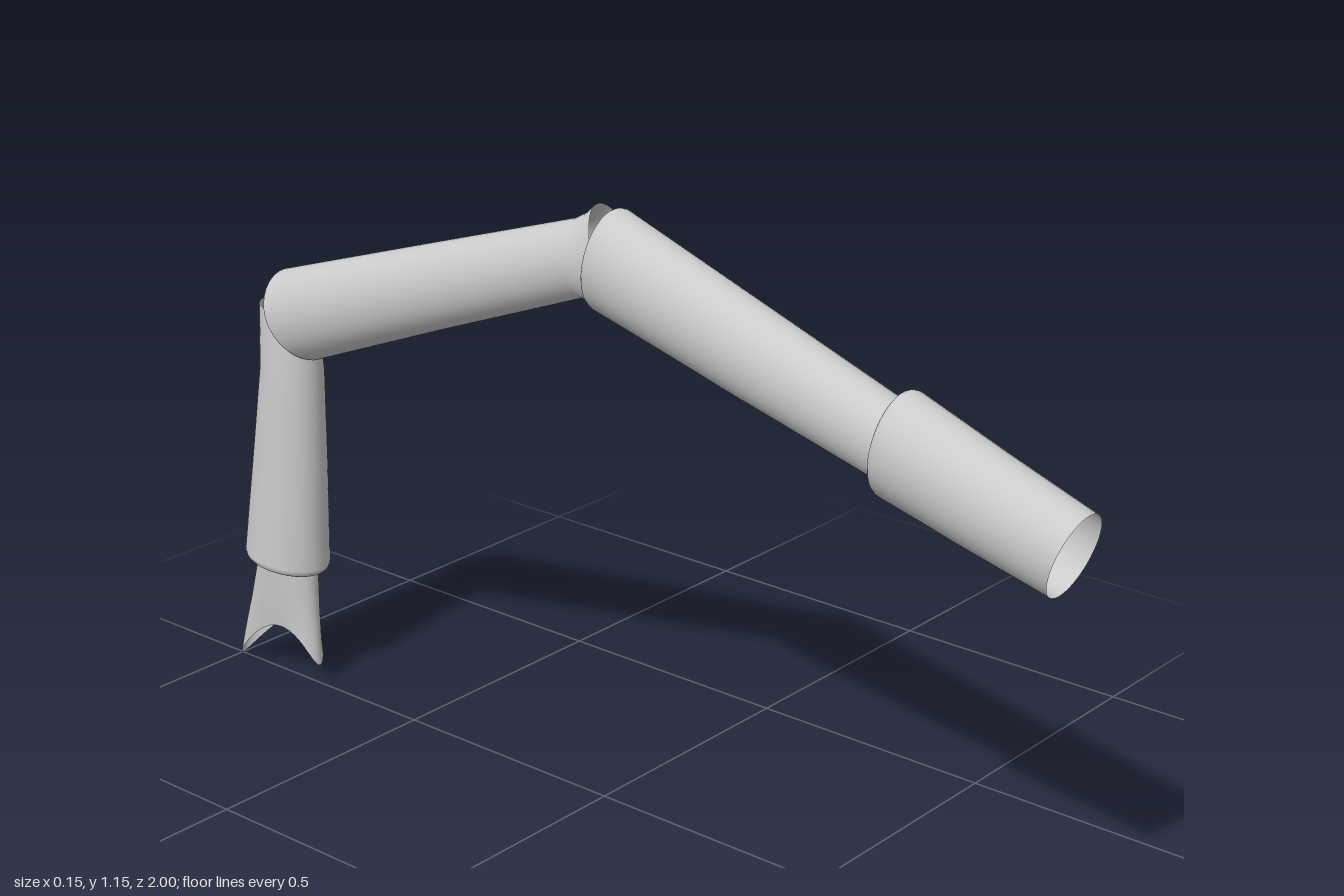
import * as THREE from 'three';

const SIDES = 40;

// A ring is [aZ, aY, bZ, bY, halfWidth, bowZ, bowY]: a and b are opposite rim points
// in the centre plane; bow shifts the two flanks to give a curved cut.
function ringPoints([az, ay, bz, by, w, bowZ = 0, bowY = 0]) {
  const pts = [];
  for (let j = 0; j < SIDES; j++) {
    const t = (j / SIDES) * Math.PI * 2, c = Math.cos(t), s = Math.sin(t);
    pts.push(
      s * w,
      (ay + by) / 2 + (ay - by) / 2 * c + bowY * s * s,
      (az + bz) / 2 + (az - bz) / 2 * c + bowZ * s * s
    );
  }
  return pts;
}

// Rings that round the last rim over and turn it inward
function lip(rings, scale = 1) {
  const [az, ay, bz, by, w, bz2 = 0, by2 = 0] = rings[rings.length - 1];
  const p = rings[rings.length - 2];
  const axis = new THREE.Vector2(az + bz - p[0] - p[2], ay + by - p[1] - p[3]).normalize();
  const half = Math.hypot(az - bz, ay - by) / 2;
  const steps = [[0.008, 0.002], [0.013, 0.006], [0.016, 0.011], [0.014, 0.016], [0.004, 0.018]];
  return steps.map(([along, inset]) => {
    const k = inset * scale / half / 2, dz = axis.x * along * scale, dy = axis.y * along * scale;
    return [
      az + (bz - az) * k + dz, ay + (by - ay) * k + dy,
      bz + (az - bz) * k + dz, by + (ay - by) * k + dy,
      w - inset * scale, bz2, by2
    ];
  });
}

// Skin a list of rings into an open, smooth tube
function tube(name, rings, material) {
  const pos = rings.flatMap(ringPoints), index = [];
  for (let i = 0; i < rings.length - 1; i++) {
    for (let j = 0; j < SIDES; j++) {
      const k = (j + 1) % SIDES;
      const a = i * SIDES + j, b = i * SIDES + k, c = b + SIDES, d = a + SIDES;
      index.push(a, b, c, a, c, d);
    }
  }
  const geo = new THREE.BufferGeometry();
  geo.setAttribute('position', new THREE.Float32BufferAttribute(pos, 3));
  geo.setIndex(index);
  geo.computeVertexNormals();
  const mesh = new THREE.Mesh(geo, material);
  mesh.name = name;
  return mesh;
}

export function createModel() {
  const group = new THREE.Group();
  group.name = 'jointedLeg';
  const material = new THREE.MeshStandardMaterial({ color: 0xcccccc, side: THREE.DoubleSide });

  // Open sleeve at the front end
  const sleeve = [
    [1.0, 0.832, 0.952, 0.68, 0.067],
    [0.83, 0.892, 0.785, 0.722, 0.072],
    [0.655, 0.957, 0.62, 0.766, 0.077]
  ];
  sleeve.push(...lip(sleeve));

  // Tapered segment rising from the sleeve
  const upper = [
    [0.665, 0.922, 0.65, 0.782, 0.06],
    [0.35, 1.035, 0.31, 0.872, 0.066],
    [0.035, 1.148, -0.002, 0.958, 0.071]
  ];
  upper.push(...lip(upper));

  // Segment sloping down to the rear, cut obliquely at the knee
  const middle = [
    [-0.015, 1.15, 0.03, 0.97, 0.054, 0.012, 0],
    [-0.035, 1.132, 0.0, 0.968, 0.055, 0.006, 0],
    [-0.065, 1.115, -0.04, 0.975, 0.056],
    [-0.44, 0.995, -0.39, 0.841, 0.064],
    [-0.822, 0.872, -0.735, 0.705, 0.071, -0.018, -0.006]
  ];
  middle.push(...lip(middle, 0.6));

  // Shin, widening downward
  const shin = [
    [-0.875, 0.805, -0.757, 0.8, 0.052],
    [-0.877, 0.74, -0.748, 0.74, 0.055],
    [-0.88, 0.67, -0.742, 0.67, 0.058],
    [-0.912, 0.47, -0.745, 0.46, 0.066],
    [-0.945, 0.275, -0.75, 0.257, 0.073]
  ];
  shin.push(...lip(shin));

  // Foot, flattening into two points with an arched cut between them
  const foot = [
    [-0.915, 0.29, -0.778, 0.28, 0.05],
    [-0.925, 0.235, -0.775, 0.235, 0.047],
    [-0.952, 0.15, -0.771, 0.155, 0.041, 0.005, 0.02],
    [-0.976, 0.08, -0.768, 0.1, 0.037, 0.012, 0.045],
    [-1.0, 0.0, -0.765, 0.04, 0.034, 0.03, 0.095]
  ];

  const parts = { sleeve, upperSegment: upper, middleSegment: middle, shin, foot };
  for (const [name, rings] of Object.entries(parts)) group.add(tube(name, rings, material));
  return group;
}
